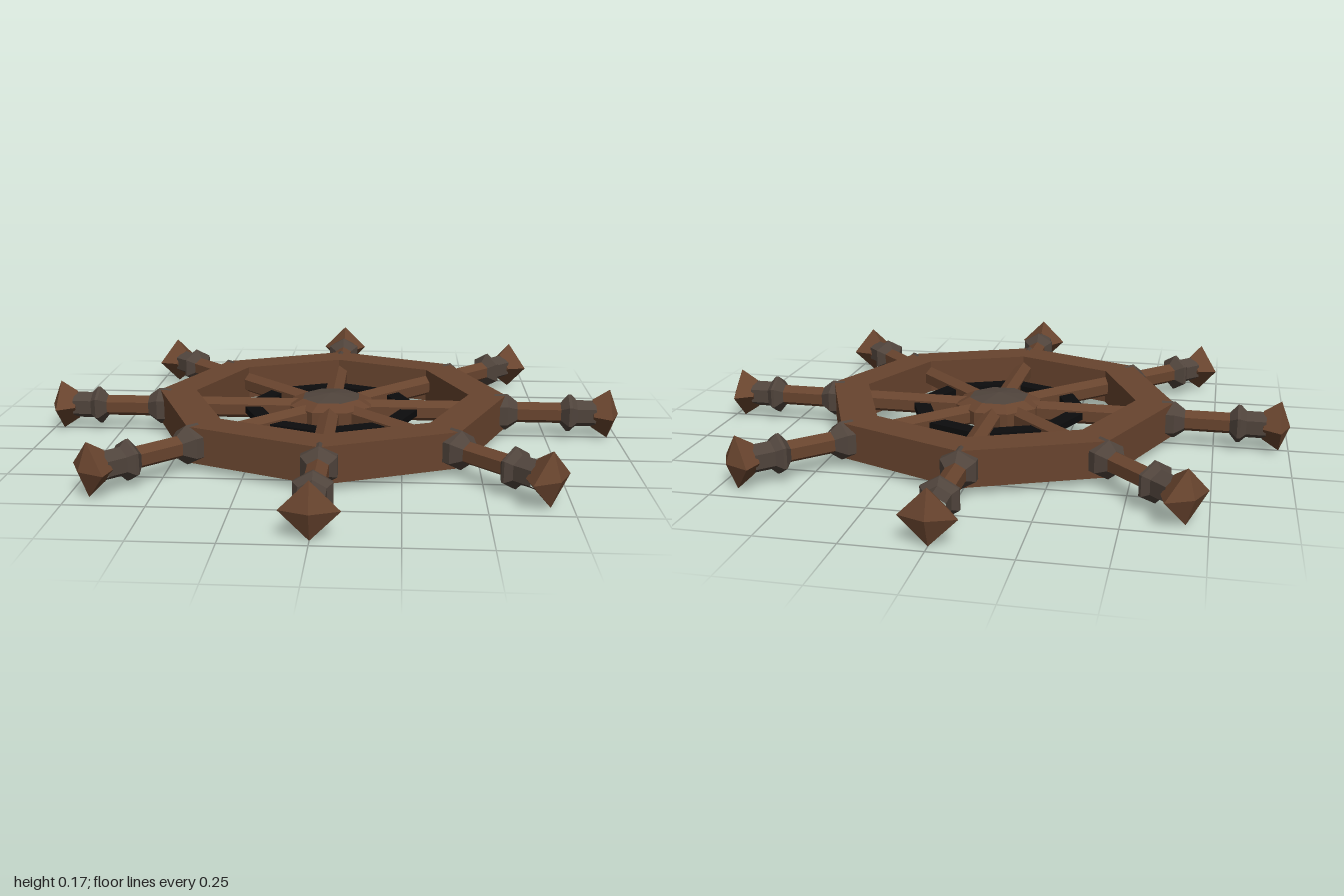
import * as THREE from 'three';

export function createModel() {
  const flat = (name, color) => new THREE.MeshStandardMaterial({ name, color, flatShading: true });
  const wood = flat('brown wood', 0x68442e);
  const greyWood = flat('grey wood', 0x50443c);
  const iron = flat('black iron', 0x0c0c0d);

  const wheel = new THREE.Group();
  wheel.name = 'shipWheel';
  const MID = 0.088;

  // Faceted turned part: profile of [radius, height] pairs
  const turned = (name, profile, sides, material, phi = 0) => {
    const points = profile.map(([r, y]) => new THREE.Vector2(r, y));
    const mesh = new THREE.Mesh(new THREE.LatheGeometry(points, sides, phi), material);
    mesh.name = name;
    return mesh;
  };
  // Octagonal ring with a rectangular section
  const ring = (name, inner, outer, half, material) => turned(name, [
    [inner, -half], [outer, -half], [outer, half], [inner, half], [inner, -half],
  ], 8, material);

  const rim = ring('rim', 0.48, 0.61, 0.06, wood);
  const innerRing = ring('innerRing', 0.255, 0.315, 0.012, iron);

  // Lens-shaped hub with a grey cap on top
  const hub = turned('hub', [[0, -0.06], [0.1, -0.047], [0.152, -0.02], [0.152, 0.025], [0.105, 0.047]],
    8, wood, Math.PI / 8);
  const hubCap = turned('hubCap', [[0.105, 0.047], [0, 0.06]], 8, greyWood, Math.PI / 8);
  for (const part of [rim, innerRing, hub, hubCap]) {
    part.position.y = MID;
    wheel.add(part);
  }

  // Eight spokes, each running through the rim into a handle
  for (let i = 0; i < 8; i++) {
    const spoke = new THREE.Group();
    spoke.name = 'spoke' + (i + 1);
    const arm = new THREE.Group();
    arm.name = 'arm';
    arm.rotation.z = -Math.PI / 2;
    arm.add(
      turned('shaft', [[0.037, 0.05], [0.037, 0.81]], 6, wood, Math.PI / 2),
      turned('rimFlare', [[0.065, 0.57], [0.065, 0.615], [0.038, 0.65]], 6, greyWood, Math.PI / 2),
      turned('collar', [[0.037, 0.8], [0.067, 0.825], [0.067, 0.835], [0.047, 0.855], [0.047, 0.92]],
        6, greyWood, Math.PI / 2),
      turned('knob', [[0, 0.905], [0.05, 0.91], [0.087, 0.967], [0, 1]], 4, wood, Math.PI / 2),
    );
    spoke.add(arm);
    spoke.position.y = MID;
    spoke.rotation.y = i * Math.PI / 4;
    wheel.add(spoke);
  }
  return wheel;
}
